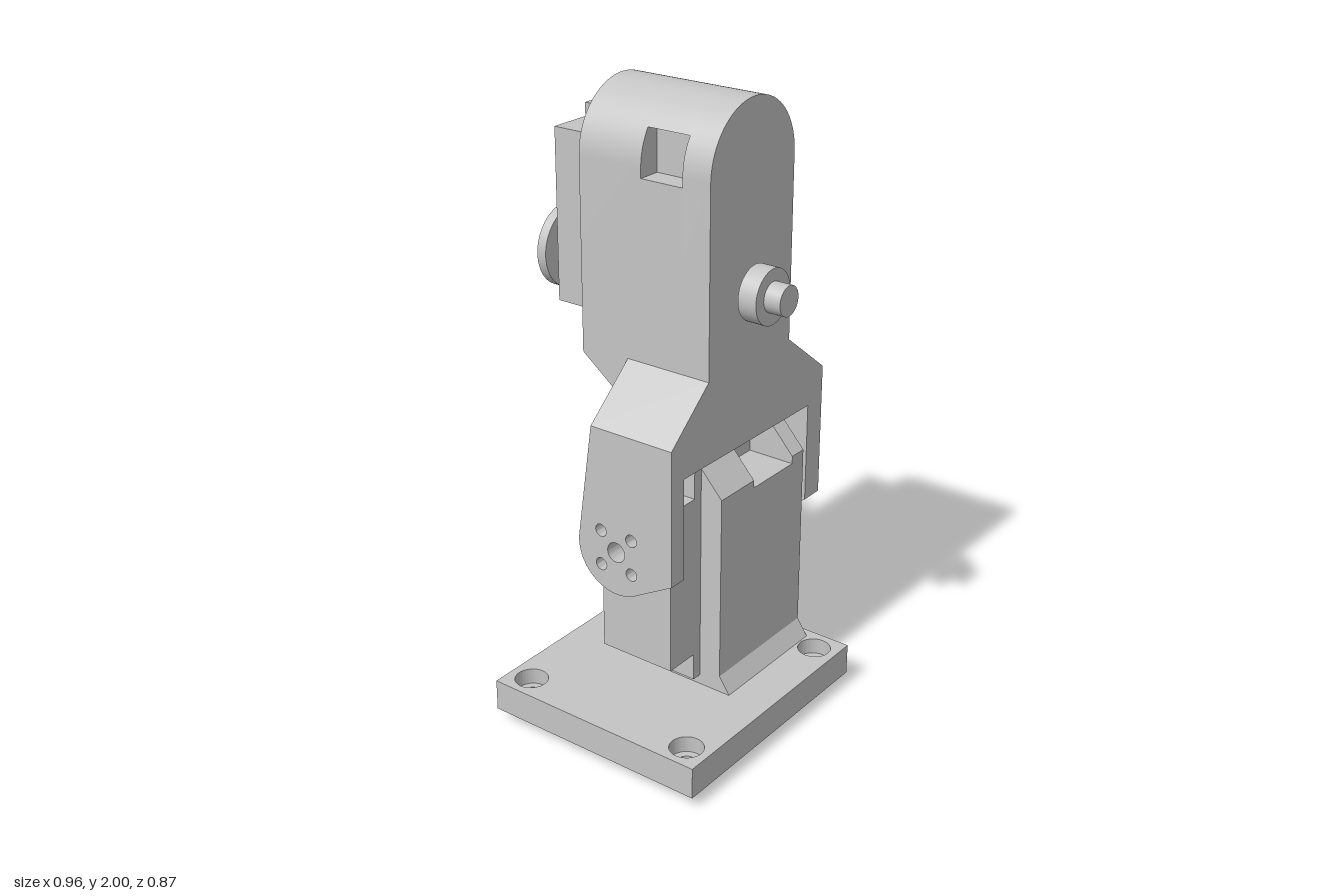
import * as THREE from 'three';
import { toCreasedNormals } from 'three/addons/utils/BufferGeometryUtils.js';

const grey = new THREE.MeshStandardMaterial({ color: 0xc4c4c4 });
grey.name = 'light grey';

const add = (parent, name, geometry) => {
  const mesh = new THREE.Mesh(geometry, grey);
  mesh.name = name;
  parent.add(mesh);
  return mesh;
};

const polygon = (points) => new THREE.Shape(points.map(([a, b]) => new THREE.Vector2(a, b)));

const circleHole = (shape, x, y, r) =>
  shape.holes.push(new THREE.Path().absarc(x, y, r, 0, Math.PI * 2, true));

// Extrude an (x, y) shape from z0 to z1
const extrudeZ = (shape, z0, z1) => toCreasedNormals(
  new THREE.ExtrudeGeometry(shape, { depth: z1 - z0, bevelEnabled: false, curveSegments: 32 })
    .translate(0, 0, z0), 0.5);

// Extrude a (-z, y) shape from x0 to x1
const extrudeX = (shape, x0, x1) => extrudeZ(shape, x0, x1).rotateY(Math.PI / 2);

// The same from a list of (z, y) points
const sideProfile = (points, x0, x1) => extrudeX(polygon(points.map(([z, y]) => [-z, y])), x0, x1);

const box = (x0, x1, y0, y1, z0, z1) => new THREE.BoxGeometry(x1 - x0, y1 - y0, z1 - z0)
  .translate((x0 + x1) / 2, (y0 + y1) / 2, (z0 + z1) / 2);

// Cylinder along z
const diskZ = (r, z0, z1) => new THREE.CylinderGeometry(r, r, z1 - z0, 48)
  .rotateX(Math.PI / 2).translate(0, 0, (z0 + z1) / 2);

// Four diagonal screw holes around a centre hole
const screwHoles = (shape, cx, cy, ring, r, centreR) => {
  circleHole(shape, cx, cy, centreR);
  for (let i = 0; i < 4; i++) {
    const a = Math.PI / 4 + i * Math.PI / 2;
    circleHole(shape, cx + ring * Math.cos(a), cy + ring * Math.sin(a), r);
  }
};

// Servo motor: output axis along +z, long side upwards
function makeServo(name, hornStart) {
  const g = new THREE.Group();
  g.name = name;
  add(g, 'servoFlange', box(-0.13, 0.13, -0.22, 0.5, 0, 0.035));
  add(g, 'servoCase', box(-0.13, 0.13, -0.13, 0.41, 0.035, 0.153));
  if (hornStart > 0.17) {
    add(g, 'servoCollar', diskZ(0.078, 0.153, 0.17));
    add(g, 'servoHub', diskZ(0.06, 0.17, hornStart));
  }
  const horn = new THREE.Shape().absarc(0, 0, 0.131, 0, Math.PI * 2);
  screwHoles(horn, 0, 0, 0.08, 0.018, 0.02);
  add(g, 'servoHorn', extrudeZ(horn, hornStart, hornStart + 0.033));
  return g;
}

// Idler axle with bearing, along +z
function makeIdler(name, start, bearing, tip) {
  const g = new THREE.Group();
  g.name = name;
  add(g, 'idlerShaft', diskZ(0.03, 0, start));
  add(g, 'idlerBearing', diskZ(0.086, start, bearing));
  add(g, 'idlerPin', diskZ(0.047, bearing, tip));
  return g;
}

function makeBase() {
  const g = new THREE.Group();
  g.name = 'base';
  add(g, 'bottomPad', box(-0.33, 0.214, 0, 0.04, -0.155, 0.262));
  // Plate in two layers, the upper one with the wider counterbores
  [[0.04, 0.09, 0.03], [0.09, 0.143, 0.053]].forEach(([y0, y1, r]) => {
    const s = polygon([[-0.48, -0.435], [0.364, -0.435], [0.364, 0.332], [-0.48, 0.332]]);
    for (const x of [-0.402, 0.286]) for (const z of [-0.253, 0.356]) circleHole(s, x, -z, r);
    add(g, 'basePlate', extrudeZ(s, y0, y1).rotateX(-Math.PI / 2));
  });
  // Sloped fillets at the foot of the housing
  add(g, 'frontFillet', sideProfile([[0.297, 0.143], [0.26, 0.198], [0.26, 0.143]], -0.105, 0.332));
  add(g, 'backFillet', sideProfile([[-0.15, 0.143], [-0.15, 0.198], [-0.192, 0.143]], -0.105, 0.332));
  add(g, 'sideFillet', extrudeZ(polygon([[0.332, 0.143], [0.363, 0.143], [0.332, 0.198]]), -0.15, 0.26));
  return g;
}

function makeHousing() {
  const g = new THREE.Group();
  g.name = 'lowerHousing';
  const back = [[-0.06, 0.91], [-0.15, 0.81], [-0.15, 0.143], [0.26, 0.143]];
  const full = [[0.26, 0.81], [0.17, 0.91], ...back];
  const notched = [[0.26, 0.785], [0.1, 0.785], [0.1, 0.91], ...back];
  // The middle slice carries the cable notch
  add(g, 'housingLeft', sideProfile(full, 0.27, 0.332));
  add(g, 'housingNotch', sideProfile(notched, 0.062, 0.27));
  add(g, 'housingRight', sideProfile(full, -0.105, 0.062));
  return g;
}

// Arm outline: straight front, tapering to a round end at the joint
function armShape(r) {
  const c = new THREE.Vector2(-0.055, 0.675);
  const tangent = (x, y, sign) => {
    const dx = x - c.x, dy = y - c.y;
    return Math.atan2(dy, dx) + sign * Math.acos(r / Math.hypot(dx, dy));
  };
  const s = new THREE.Shape();
  s.moveTo(0.033, 1.063);
  s.lineTo(-0.26, 1.063);
  s.lineTo(-0.26, 0.627);
  s.absarc(c.x, c.y, r, tangent(-0.26, 0.627, 1), tangent(0.033, 1.063, -1), false);
  return s;
}

function makeYoke() {
  const g = new THREE.Group();
  g.name = 'yoke';
  // Round-topped head, with a cable window in the right wall
  const arc = [];
  for (let i = 0; i <= 48; i++) {
    const a = i * Math.PI / 48;
    arc.push([0.0285 + 0.2035 * Math.cos(a), 1.7965 + 0.2035 * Math.sin(a)]);
  }
  const foot = [[-0.175, 1.215], [0.232, 1.215]];
  const solid = polygon([...foot, ...arc]);
  const windowed = polygon([...foot, ...arc.filter(([x, y]) => x > 0 || y > 1.9),
    [-0.1, 1.9], [-0.1, 1.77], [-0.175, 1.77]]);
  add(g, 'headBack', extrudeZ(solid, -0.203, 0.02));
  add(g, 'headWindow', extrudeZ(windowed, 0.02, 0.165));
  add(g, 'headFront', extrudeZ(solid, 0.165, 0.26));
  add(g, 'headUnderside', sideProfile(
    [[-0.033, 1.215], [-0.203, 1.215], [-0.203, 1.195], [-0.033, 1.063]], -0.175, 0.232));

  add(g, 'shoulders', extrudeZ(polygon([[-0.35, 0.955], [0.427, 0.955], [0.427, 1.063],
    [0.232, 1.215], [-0.175, 1.215], [-0.35, 1.063]]), -0.033, 0.26));

  add(g, 'leftArm', extrudeX(armShape(0.159), 0.349, 0.427));
  const right = armShape(0.142);
  screwHoles(right, -0.055, 0.675, 0.08, 0.02, 0.032);
  add(g, 'rightArm', extrudeX(right, -0.35, -0.29));
  return g;
}

export function createModel() {
  const model = new THREE.Group();
  model.name = 'servoArm';
  model.add(makeBase(), makeHousing(), makeYoke());

  const lowerServo = makeServo('lowerServo', 0.153);
  lowerServo.position.set(-0.103, 0.675, 0.055);
  lowerServo.rotation.set(0, -Math.PI / 2, Math.PI);

  const upperServo = makeServo('upperServo', 0.202);
  upperServo.position.set(0.0285, 1.43, -0.203);
  upperServo.rotation.y = Math.PI;

  const lowerIdler = makeIdler('lowerIdler', 0.022, 0.096, 0.148);
  lowerIdler.position.set(0.332, 0.675, 0.055);
  lowerIdler.rotation.y = Math.PI / 2;

  const upperIdler = makeIdler('upperIdler', 0.013, 0.075, 0.13);
  upperIdler.position.set(0.0285, 1.43, 0.26);

  model.add(lowerServo, upperServo, lowerIdler, upperIdler);
  return model;
}
